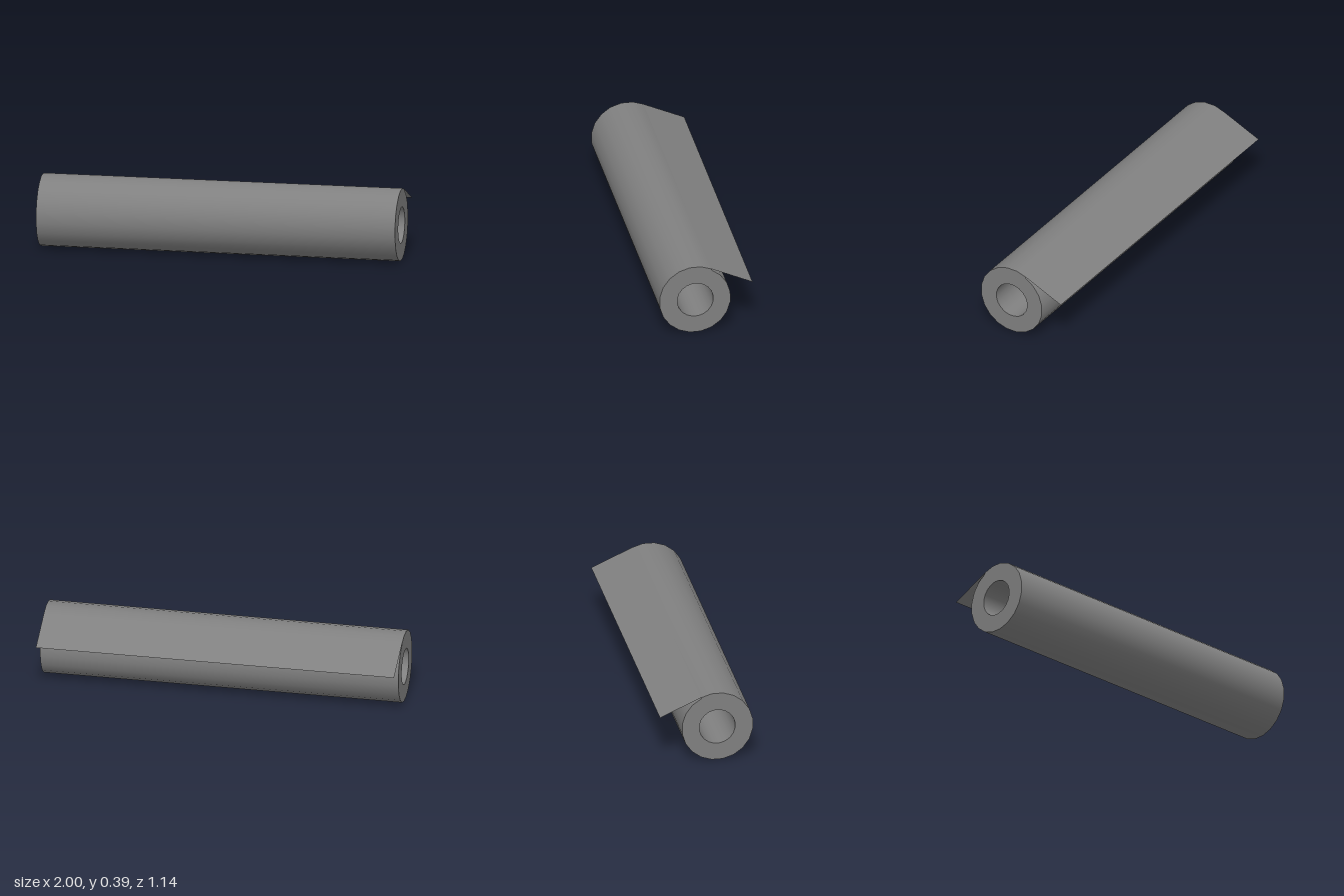
import * as THREE from 'three';
import { toCreasedNormals } from 'three/addons/utils/BufferGeometryUtils.js';

const LENGTH = 1.945, OUTER = 0.197, INNER = 0.098, SIDES = 20;
const THICKNESS = 0.006; // one layer of paper
const CENTRE_Y = 0.191, CENTRE_Z = 0.059;
const START = THREE.MathUtils.degToRad(63); // where the loose sheet leaves the roll

// Points around the roll; the radius may shrink over one turn
function turn(count, radius, shrink) {
  return Array.from({ length: count }, (_, i) => {
    const a = START + i / SIDES * 2 * Math.PI;
    const r = radius - shrink * i / SIDES;
    return new THREE.Vector2(Math.cos(a) * r, Math.sin(a) * r);
  });
}

export function createModel() {
  const model = new THREE.Group();
  model.name = 'paperRoll';
  const material = new THREE.MeshStandardMaterial({ color: 0x808080 });

  // Hollow roll lying along x, its outer layer winding in under the loose sheet
  const section = new THREE.Shape(turn(SIDES + 1, OUTER, THICKNESS));
  section.holes.push(new THREE.Path(turn(SIDES, INNER, 0)));
  let rollGeometry = new THREE.ExtrudeGeometry(section, { depth: LENGTH, bevelEnabled: false });
  rollGeometry.translate(0, 0, -LENGTH / 2).rotateY(Math.PI / 2);
  rollGeometry = toCreasedNormals(rollGeometry, 0.6);
  const roll = new THREE.Mesh(rollGeometry, material);
  roll.name = 'roll';
  roll.position.set(0, CENTRE_Y, CENTRE_Z);

  // Loose sheet leaving the roll at a tangent, sloping down to the back
  const startY = CENTRE_Y + OUTER * Math.sin(START);
  const startZ = CENTRE_Z - OUTER * Math.cos(START);
  const endY = 0.268, endZ = -0.2515;
  const drop = startY - endY, run = startZ - endZ;
  const sheetMaterial = material.clone();
  sheetMaterial.side = THREE.DoubleSide;
  const sheet = new THREE.Mesh(
    new THREE.PlaneGeometry(LENGTH, Math.hypot(drop, run)).rotateX(-Math.PI / 2),
    sheetMaterial
  );
  sheet.name = 'looseSheet';
  sheet.position.set(0, (startY + endY) / 2, (startZ + endZ) / 2);
  sheet.rotation.x = -Math.atan2(drop, run);

  model.add(roll, sheet);
  model.rotation.y = -THREE.MathUtils.degToRad(20.2);
  return model;
}
